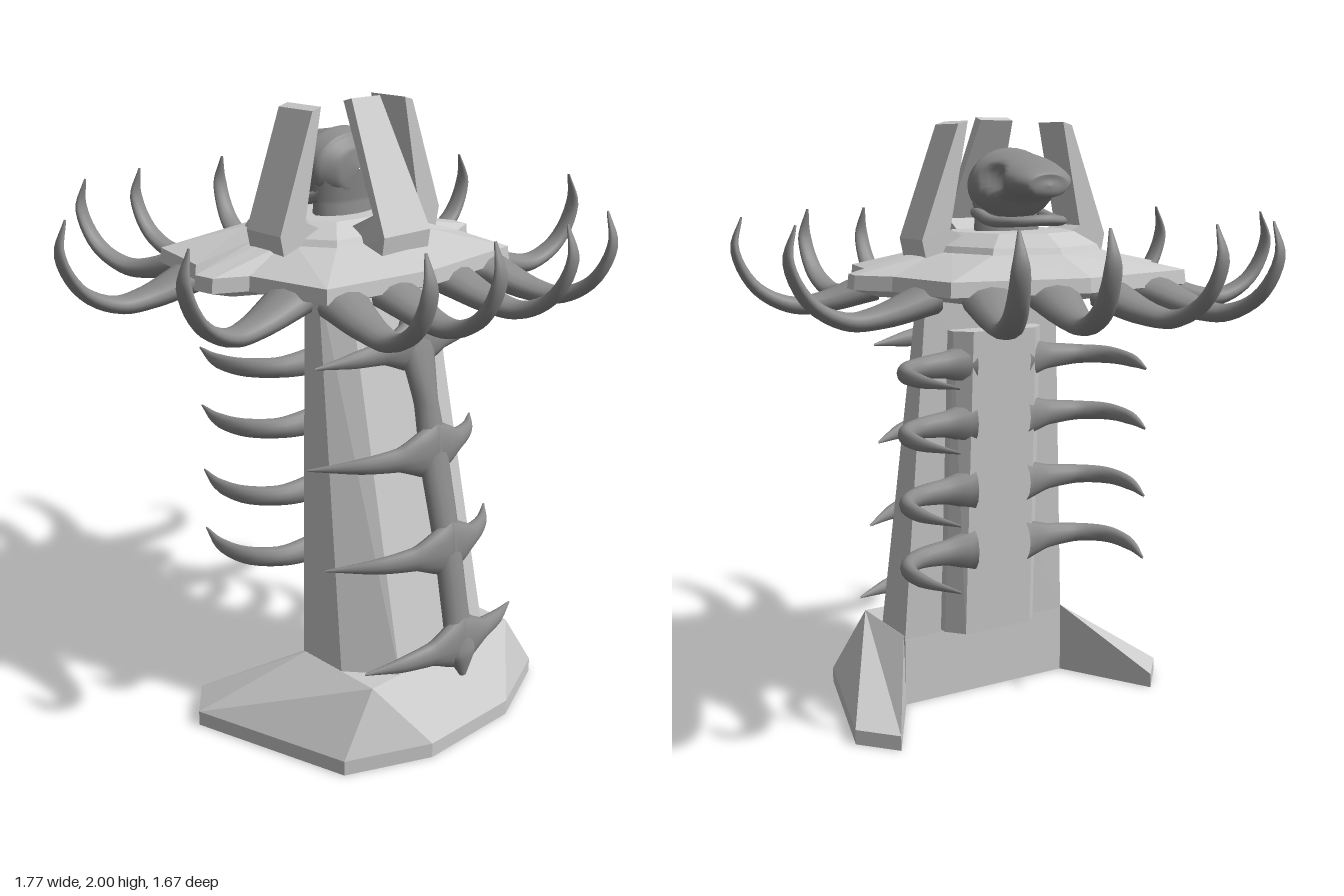
import * as THREE from 'three';

const V = (x, y, z) => new THREE.Vector3(x, y, z);

// Mirrors half an outline of [x, z] points (front to back, x >= 0) into a closed loop
function mirrored(half) {
  const other = half.filter(p => p[0] > 0).reverse().map(([x, z]) => [-x, z]);
  return [...half, ...other];
}

// Faceted solid from stacked half outlines: [[y, half], ...] from bottom to top
function stack(layers) {
  const rings = layers.map(([y, half]) => mirrored(half).map(([x, z]) => V(x, y, z)));
  const out = [];
  const tri = (a, b, c) => {
    const area = b.clone().sub(a).cross(c.clone().sub(a)).length();
    if (area > 1e-7) for (const p of [a, b, c]) out.push(p.x, p.y, p.z);
  };
  for (let k = 0; k < rings.length - 1; k++) {
    const lo = rings[k], hi = rings[k + 1], n = lo.length;
    for (let i = 0; i < n; i++) {
      const j = (i + 1) % n;
      tri(lo[i], lo[j], hi[i]);
      tri(lo[j], hi[j], hi[i]);
    }
  }
  const cap = (ring, up) => {
    const flat = ring.map(p => new THREE.Vector2(p.x, -p.z));
    for (const [a, b, c] of THREE.ShapeUtils.triangulateShape(flat, [])) {
      if (up) tri(ring[a], ring[b], ring[c]);
      else tri(ring[a], ring[c], ring[b]);
    }
  };
  cap(rings[0], false);
  cap(rings[rings.length - 1], true);
  const g = new THREE.BufferGeometry();
  g.setAttribute('position', new THREE.Float32BufferAttribute(out, 3));
  g.computeVertexNormals();
  return g;
}

// Smooth tapering limb with elliptic sections: half width along `side`, half thickness across it
function limb(points, widths, thicks, side, segs = 24, sides = 12) {
  const curve = new THREE.CatmullRomCurve3(points);
  const pos = [], index = [];
  const at = (list, t) => {
    const f = t * (list.length - 1), i = Math.min(Math.floor(f), list.length - 2);
    return THREE.MathUtils.lerp(list[i], list[i + 1], f - i);
  };
  for (let i = 0; i <= segs; i++) {
    const t = i / segs, c = curve.getPoint(t);
    const n = curve.getTangent(t).cross(side).normalize();
    for (let j = 0; j < sides; j++) {
      const a = j / sides * Math.PI * 2;
      const p = c.clone().addScaledVector(side, Math.cos(a) * at(widths, t))
        .addScaledVector(n, Math.sin(a) * at(thicks, t));
      pos.push(p.x, p.y, p.z);
      if (i < segs) {
        const k = i * sides + j, m = i * sides + (j + 1) % sides;
        index.push(k, m, k + sides, m, m + sides, k + sides);
      }
    }
  }
  const g = new THREE.BufferGeometry();
  g.setAttribute('position', new THREE.Float32BufferAttribute(pos, 3));
  g.setIndex(index);
  g.computeVertexNormals();
  return g;
}

// Leaning plate: an [outward, y] profile extruded to a width and narrowed towards the top
function plate(profile, bottomWidth, topWidth) {
  const g = new THREE.ExtrudeGeometry(
    new THREE.Shape(profile.map(p => new THREE.Vector2(...p))), { depth: 1, bevelEnabled: false });
  g.translate(0, 0, -0.5);
  const p = g.attributes.position;
  for (let i = 0; i < p.count; i++) {
    const t = THREE.MathUtils.clamp((p.getY(i) - 1.61) / 0.38, 0, 1);
    p.setZ(i, p.getZ(i) * THREE.MathUtils.lerp(bottomWidth, topWidth, t));
  }
  g.computeVertexNormals();
  return g;
}

export function createModel() {
  const model = new THREE.Group();
  const stone = new THREE.MeshStandardMaterial({ color: 0xcccccc, flatShading: true });
  const bone = new THREE.MeshStandardMaterial({ color: 0x8c8c8c });
  const add = (name, geometry, material) => {
    const mesh = new THREE.Mesh(geometry, material);
    mesh.name = name;
    model.add(mesh);
    return mesh;
  };
  const UP = V(0, 1, 0), X = V(1, 0, 0);

  // Base with two wings sweeping backwards
  const foot = [[0.18, 0.64], [0.45, 0.52], [0.605, -0.01], [0.5, -0.13], [0.32, 0.19]];
  add('base', stack([
    [0, foot], [0.05, foot],
    [0.25, [[0.32, 0.51], [0.32, 0.51], [0.32, 0.51], [0.32, 0.2], [0.32, 0.19]]],
  ]), stone);

  // Column leaning back, with a slab on its rear
  add('column', stack([
    [0.24, [[0.2, 0.512], [0.32, 0.37], [0.32, 0.19]]],
    [1.48, [[0.18, 0.25], [0.25, 0.19], [0.25, 0.13]]],
  ]), stone);
  add('rearSlab', stack([
    [0.25, [[0.18, 0.22], [0.18, 0.16], [0.13, 0.1]]],
    [1.31, [[0.17, 0.17], [0.17, 0.1], [0.12, 0.05]]],
  ]), stone);

  // Platform with side nubs and a raised centre
  const rim = [[0, 0.44], [0.4, 0.39], [0.46, 0.12], [0.56, 0.07], [0.57, 0], [0.49, -0.1], [0.43, -0.36], [0, -0.45]];
  const hub = [[0, 0.24], [0.2, 0.22], [0.27, 0.12], [0.28, 0.07], [0.28, 0], [0.26, -0.06], [0.2, -0.21], [0, -0.29]];
  const scaled = (ring, s) => ring.map(([x, z]) => [x * s, z * s]);
  add('platform', stack([
    [1.45, scaled(rim, 0.85)], [1.475, rim], [1.52, scaled(rim, 0.99)],
    [1.58, hub], [1.6, scaled(hub, 0.96)], [1.64, scaled(hub, 0.7)],
  ]), stone);

  // Three leaning pillars around the skull
  add('frontPillar', plate([[0.14, 1.53], [0.31, 1.54], [0.32, 1.61], [0.135, 2], [0.1, 1.99], [0.265, 1.67], [0.17, 1.62]],
    0.2, 0.12), stone).rotation.y = -Math.PI / 2;
  for (const s of [1, -1]) {
    const pillar = add(s > 0 ? 'leftPillar' : 'rightPillar',
      plate([[0.18, 1.55], [0.33, 1.55], [0.345, 1.62], [0.212, 1.975], [0.178, 1.985], [0.245, 1.65], [0.18, 1.62]],
        0.155, 0.15), stone);
    pillar.position.z = 0.053;
    if (s < 0) pillar.rotation.y = Math.PI;
  }

  // Skull facing the rear, with sunken eye sockets
  const skull = limb(
    [V(0, 1.78, 0.11), V(0, 1.78, 0.1), V(0, 1.78, 0.06), V(0, 1.79, 0), V(0, 1.805, -0.07), V(0, 1.805, -0.13), V(0, 1.795, -0.18), V(0, 1.785, -0.215), V(0, 1.785, -0.222)],
    [0.002, 0.08, 0.135, 0.155, 0.14, 0.12, 0.105, 0.07, 0.002],
    [0.002, 0.07, 0.105, 0.115, 0.08, 0.06, 0.05, 0.035, 0.002], X, 48, 32);
  const sp = skull.attributes.position;
  for (let i = 0; i < sp.count; i++) {
    const x = sp.getX(i);
    const d = Math.hypot(Math.abs(x) - 0.13, sp.getY(i) - 1.81, sp.getZ(i) + 0.08);
    if (d < 0.055) sp.setX(i, x * (1 - 0.4 * (1 - (d / 0.055) ** 2)));
  }
  skull.computeVertexNormals();
  add('skull', skull, bone);
  add('neck', limb([V(0, 1.6, 0.04), V(0, 1.68, 0.04), V(0, 1.76, 0.04)], [0.12, 0.12, 0.13], [0.07, 0.06, 0.07], X), bone);
  add('jaw', limb([V(0.11, 1.7, 0.05), V(0.115, 1.675, -0.06), V(0.08, 1.675, -0.15), V(0, 1.68, -0.185),
    V(-0.08, 1.675, -0.15), V(-0.115, 1.675, -0.06), V(-0.11, 1.7, 0.05)],
  [0.02, 0.018, 0.016, 0.018, 0.016, 0.018, 0.02], [0.02, 0.02, 0.025, 0.03, 0.025, 0.02, 0.02], UP, 36), bone);

  // Upturned claws round the platform: [root x, root z, reach x, reach z]
  const claws = [[0.1, -0.4, 0.19, -0.83], [0.3, -0.36, 0.45, -0.78], [0.42, -0.2, 0.88, -0.235],
    [0.4, 0.235, 0.84, 0.305], [0.32, 0.37, 0.4, 0.79], [0.13, 0.39, 0.16, 0.825]];
  const clawCurve = [[0, 1.46], [0.36, 1.415], [0.6, 1.41], [0.85, 1.47], [0.985, 1.59], [0.93, 1.69]];
  for (const s of [1, -1]) for (const [x, z, tx, tz] of claws) {
    const pts = clawCurve.map(([f, y]) => V(s * (x + (tx - x) * f), y, z + (tz - z) * f));
    const side = V(s * (tx - x), 0, tz - z).normalize().cross(UP);
    add('platformClaw', limb(pts, [0.085, 0.055, 0.043, 0.035, 0.027, 0.004],
      [0.05, 0.035, 0.027, 0.02, 0.014, 0.003], side), bone);
  }

  // Rear ribs hooking backwards from the slab
  for (const s of [1, -1]) for (const y of [1.2, 1, 0.77, 0.555]) {
    add('rearRib', limb(
      [V(s * 0.1, y, 0.1), V(s * 0.2, y, 0.105), V(s * 0.32, y, 0.085), V(s * 0.395, y, 0.01), V(s * 0.405, y - 0.005, -0.11), V(s * 0.35, y - 0.01, -0.27)],
      [0.075, 0.045, 0.033, 0.03, 0.023, 0.003], [0.05, 0.035, 0.03, 0.026, 0.02, 0.003], UP), bone);
  }

  // Front spine and its webbed ribs
  add('spine', limb(
    [V(0, 1.4, 0.32), V(0, 1.3, 0.355), V(0, 1.1, 0.41), V(0, 0.9, 0.455), V(0, 0.65, 0.515), V(0, 0.42, 0.56), V(0, 0.29, 0.59), V(0, 0.21, 0.6)],
    [0.008, 0.075, 0.042, 0.055, 0.05, 0.05, 0.06, 0.012], [0.008, 0.035, 0.035, 0.035, 0.035, 0.035, 0.035, 0.01], X, 48), bone);
  // [height, z at spine, z at tip, reach]
  const frontRibs = [[1.275, 0.36, 0.3, 0.365], [0.945, 0.445, 0.27, 0.37], [0.635, 0.52, 0.35, 0.37], [0.325, 0.58, 0.5, 0.345]];
  for (const s of [1, -1]) for (const [y, z, tz, r] of frontRibs) {
    const pts = [[0, 0], [0.15, 0.02], [0.35, 0.12], [0.65, 0.42], [1, 1]]
      .map(([f, b]) => V(s * r * f, y - 0.02 * f, z + (tz - z) * b));
    add('frontRib', limb(pts, [0.1, 0.075, 0.04, 0.026, 0.003], [0.035, 0.033, 0.028, 0.02, 0.003], UP), bone);
  }
  return model;
}
